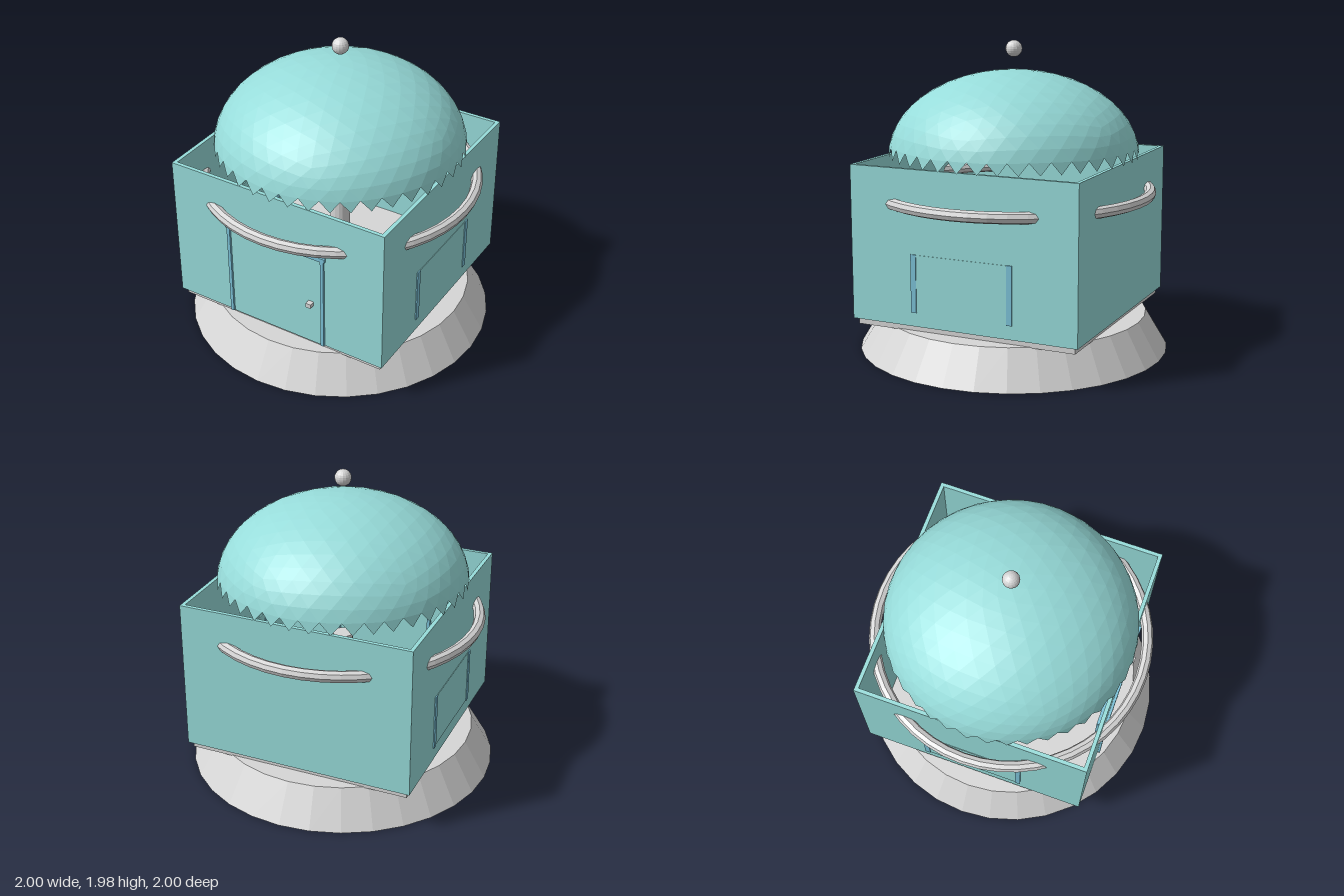
import * as THREE from 'three';

const mat = (name, color, extra = {}) => {
  const m = new THREE.MeshStandardMaterial({ color, ...extra });
  m.name = name;
  return m;
};

export function createModel() {
  const model = new THREE.Group();
  model.name = 'domedHut';
  const teal = mat('teal', 0x97dcda, { flatShading: true, side: THREE.DoubleSide });
  const grey = mat('lightGrey', 0xd6d6d6, { flatShading: true });
  const blue = mat('trimBlue', 0x7cc2d8, { flatShading: true });

  const add = (name, geometry, material, x = 0, y = 0, z = 0, parent = model) => {
    const mesh = new THREE.Mesh(geometry, material);
    mesh.name = name;
    mesh.position.set(x, y, z);
    parent.add(mesh);
    return mesh;
  };
  // Box given by its lower and upper corners
  const box = (name, material, [x0, y0, z0], [x1, y1, z1], parent = model) =>
    add(name, new THREE.BoxGeometry(x1 - x0, y1 - y0, z1 - z0), material,
      (x0 + x1) / 2, (y0 + y1) / 2, (z0 + z1) / 2, parent);

  // Foundation, floor and central pedestal
  add('base', new THREE.CylinderGeometry(0.86, 1, 0.235, 32), grey, 0, 0.1175, 0);
  box('floor', grey, [-0.73, 0.23, -0.73], [0.73, 0.275, 0.73]);
  add('pedestal', new THREE.CylinderGeometry(0.065, 0.065, 0.59, 16), grey, 0, 0.565, 0);

  // Four walls, open at the top
  const w = 0.755, t = 0.025, y0 = 0.27, y1 = 1.245;
  for (const s of [-1, 1]) {
    add(s > 0 ? 'frontWall' : 'backWall', new THREE.BoxGeometry(2 * w, y1 - y0, t), teal,
      0, (y0 + y1) / 2, s * (w - t / 2));
    add(s > 0 ? 'leftWall' : 'rightWall', new THREE.BoxGeometry(t, y1 - y0, 2 * (w - t)), teal,
      s * (w - t / 2), (y0 + y1) / 2, 0);
  }

  // Rail ring passing through the walls
  add('railRing', new THREE.TorusGeometry(0.875, 0.037, 8, 48).rotateX(Math.PI / 2), grey, 0, 1.018, 0);

  // Door with frame and handle
  const door = new THREE.Group();
  door.name = 'door';
  model.add(door);
  box('doorPanel', teal, [-0.325, y0, 0.72], [0.325, 0.915, 0.76], door);
  for (const s of [-1, 1]) {
    add('doorJamb', new THREE.BoxGeometry(0.022, 0.645, 0.065), blue, s * 0.34, 0.5925, 0.737, door);
  }
  box('doorLintel', blue, [-0.36, 0.915, 0.705], [0.36, 0.942, 0.772], door);
  box('doorHandle', grey, [0.24, 0.555, 0.76], [0.275, 0.585, 0.795], door);

  // Side windows
  for (const s of [-1, 1]) {
    const win = new THREE.Group();
    win.name = s > 0 ? 'leftWindow' : 'rightWindow';
    model.add(win);
    add('windowPane', new THREE.BoxGeometry(0.036, 0.36, 0.61), teal, s * 0.74, 0.54, 0, win);
    for (const z of [-0.32, 0.32]) {
      add('windowJamb', new THREE.BoxGeometry(0.045, 0.365, 0.036), blue, s * 0.74, 0.54, z, win);
    }
  }

  // Dome: upper half of a faceted ball, keeping whole facets so the rim is jagged
  const ball = new THREE.IcosahedronGeometry(1, 7);
  const pole = new THREE.Vector3(-1, (1 + Math.sqrt(5)) / 2, 0).normalize();
  ball.applyQuaternion(new THREE.Quaternion().setFromUnitVectors(pole, new THREE.Vector3(0, 1, 0)));
  const p = ball.attributes.position.array;
  const kept = [];
  for (let i = 0; i < p.length; i += 9) {
    if ((p[i + 1] + p[i + 4] + p[i + 7]) / 3 > 0.062) kept.push(...p.subarray(i, i + 9));
  }
  const domeGeo = new THREE.BufferGeometry();
  domeGeo.setAttribute('position', new THREE.Float32BufferAttribute(kept, 3));
  domeGeo.scale(0.8, 0.545, 0.8);
  domeGeo.computeVertexNormals();
  add('dome', domeGeo, teal, 0, 1.245, 0);

  // Ball hovering above the dome
  add('topBall', new THREE.SphereGeometry(0.053, 16, 12), grey, 0, 1.922, 0);

  return model;
}
